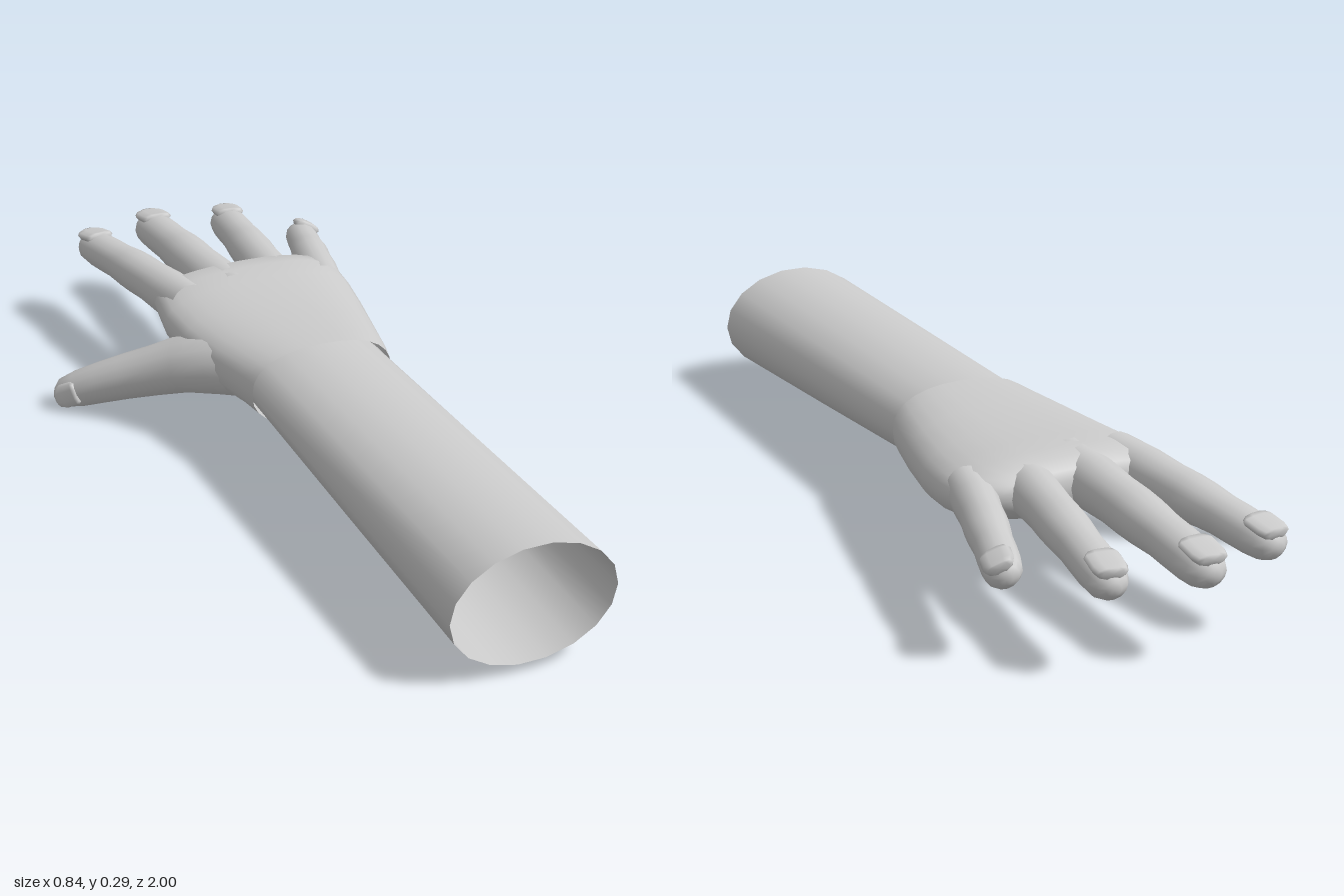
import * as THREE from 'three';

const material = new THREE.MeshStandardMaterial({ color: 0xcccccc, side: THREE.DoubleSide });

// Skin of superellipse rings along a path. Station: { c, rx, ry }.
function loft(name, stations, { sides = 14, power = 2, up = [0, 1, 0], dir = null, capStart = false, capEnd = true } = {}) {
  const pos = [], index = [];
  const upV = new THREE.Vector3(...up);
  const n = stations.length;
  const round = (v) => Math.sign(v) * Math.pow(Math.abs(v), 2 / power);
  stations.forEach(({ rx, ry }, i) => {
    const c = new THREE.Vector3(...stations[i].c);
    const t = dir ? new THREE.Vector3(...dir)
      : new THREE.Vector3(...stations[Math.min(i + 1, n - 1)].c)
        .sub(new THREE.Vector3(...stations[Math.max(i - 1, 0)].c)).normalize();
    const side = t.clone().cross(upV).normalize();
    const top = side.clone().cross(t);
    for (let j = 0; j < sides; j++) {
      const a = (j / sides) * Math.PI * 2;
      const p = c.clone().addScaledVector(side, round(Math.cos(a)) * rx).addScaledVector(top, round(Math.sin(a)) * ry);
      pos.push(p.x, p.y, p.z);
    }
  });
  for (let i = 0; i < n - 1; i++) {
    for (let j = 0; j < sides; j++) {
      const k = (j + 1) % sides;
      const a = i * sides + j, b = i * sides + k, c = b + sides, d = a + sides;
      index.push(a, c, b, a, d, c);
    }
  }
  const cap = (i, flip) => {
    const mid = pos.length / 3;
    pos.push(...stations[i].c);
    for (let j = 0; j < sides; j++) {
      const a = i * sides + j, b = i * sides + (j + 1) % sides;
      index.push(...(flip ? [b, a, mid] : [a, b, mid]));
    }
  };
  if (capStart) cap(0, false);
  if (capEnd) cap(n - 1, true);
  const geo = new THREE.BufferGeometry();
  geo.setAttribute('position', new THREE.Float32BufferAttribute(pos, 3));
  geo.setIndex(index);
  geo.computeVertexNormals();
  const mesh = new THREE.Mesh(geo, material);
  mesh.name = name;
  return mesh;
}

// Station from extents at a given z
const slice = (z, x0, x1, y0, y1) => ({
  c: [(x0 + x1) / 2, (y0 + y1) / 2, z], rx: (x1 - x0) / 2, ry: (y1 - y0) / 2,
});

// Thin curved plate laid on a fingertip
function nail(name, from, to, width, up) {
  const at = (t) => from.map((v, i) => v + (to[i] - v) * t);
  const rows = [[0, 0.8], [0.15, 1], [0.7, 1], [0.93, 0.85], [1, 0.6]];
  return loft(name, rows.map(([t, s]) => ({ c: at(t), rx: width * s, ry: 0.012 })),
    { sides: 10, power: 2.6, up, capStart: true });
}

// Along the finger: position, thickness factor, with knuckle swellings
const fingerProfile = [
  [0, 1], [0.2, 1], [0.36, 0.93], [0.47, 0.95], [0.56, 0.93], [0.68, 0.85],
  [0.77, 0.86], [0.87, 0.85], [0.94, 0.78], [0.98, 0.6], [1, 0.3],
];

function finger(name, base, tip, r, up) {
  const group = new THREE.Group();
  group.name = name;
  const at = (t) => [
    base[0] + (tip[0] - base[0]) * t,
    base[1] + (tip[1] - base[1]) * t * t,
    base[2] + (tip[2] - base[2]) * t,
  ];
  group.add(loft(name + 'Skin', fingerProfile.map(([t, s]) => ({
    c: at(t), rx: r * s, ry: r * s * (1.04 - 0.16 * t),
  })), { up, capStart: false }));
  // nail sits just above the skin
  const lift = (t, h) => at(t).map((v, i) => v + up[i] * h);
  group.add(nail(name + 'Nail', lift(0.86, r * 0.66), lift(0.995, r * 0.55), r * 0.68, up));
  return group;
}

export function createModel() {
  const model = new THREE.Group();
  model.name = 'handAndForearm';

  // Open forearm sleeve
  model.add(loft('forearm', [
    slice(1, -0.115, 0.265, 0.03, 0.3),
    slice(0.5, -0.108, 0.257, 0.07, 0.3),
    slice(0, -0.1, 0.246, 0.11, 0.3),
    slice(-0.04, -0.1, 0.246, 0.115, 0.299),
  ], { sides: 18, dir: [0, 0, -1], capEnd: false }));

  // Palm, open at the wrist and rounded at the knuckles
  model.add(loft('palm', [
    slice(0.015, -0.103, 0.248, 0.109, 0.301),
    slice(-0.04, -0.112, 0.264, 0.113, 0.3),
    slice(-0.15, -0.135, 0.29, 0.113, 0.297),
    slice(-0.28, -0.155, 0.318, 0.122, 0.296),
    slice(-0.38, -0.16, 0.333, 0.138, 0.3),
    slice(-0.45, -0.15, 0.336, 0.155, 0.302),
    slice(-0.5, -0.142, 0.315, 0.172, 0.298),
    slice(-0.53, -0.125, 0.26, 0.195, 0.28),
    slice(-0.54, -0.1, 0.22, 0.215, 0.26),
  ], { sides: 28, power: 2.4, dir: [0, 0, -1] }));

  // Four fingers
  const level = [0, 1, 0];
  const fingers = [
    ['indexFinger', [-0.078, 0.238, -0.42], [-0.15, 0.212, -0.945], 0.056, level],
    ['middleFinger', [0.037, 0.24, -0.42], [0.035, 0.212, -1], 0.06, level],
    ['ringFinger', [0.162, 0.24, -0.42], [0.236, 0.21, -0.96], 0.056, level],
    ['littleFinger', [0.275, 0.232, -0.42], [0.388, 0.2, -0.805], 0.05, [0.45, 0.89, 0]],
  ];
  for (const f of fingers) model.add(finger(...f));

  // Thumb, splayed outward and down
  const thumb = new THREE.Group();
  thumb.name = 'thumb';
  thumb.add(loft('thumbSkin', [
    [-0.01, 0.2, -0.14, 0.1, 0.08], [-0.08, 0.185, -0.22, 0.098, 0.078],
    [-0.145, 0.158, -0.292, 0.084, 0.068], [-0.205, 0.128, -0.343, 0.066, 0.06],
    [-0.26, 0.104, -0.386, 0.056, 0.055], [-0.31, 0.08, -0.425, 0.05, 0.05],
    [-0.355, 0.057, -0.46, 0.042, 0.045], [-0.385, 0.042, -0.482, 0.032, 0.037],
    [-0.4, 0.035, -0.492, 0.017, 0.02],
  ].map(([x, y, z, rx, ry]) => ({ c: [x, y, z], rx, ry })), { sides: 16 }));
  thumb.add(nail('thumbNail', [-0.372, 0.064, -0.428], [-0.408, 0.037, -0.47], 0.03, [-0.55, 0.2, 0.8]));
  model.add(thumb);

  return model;
}
